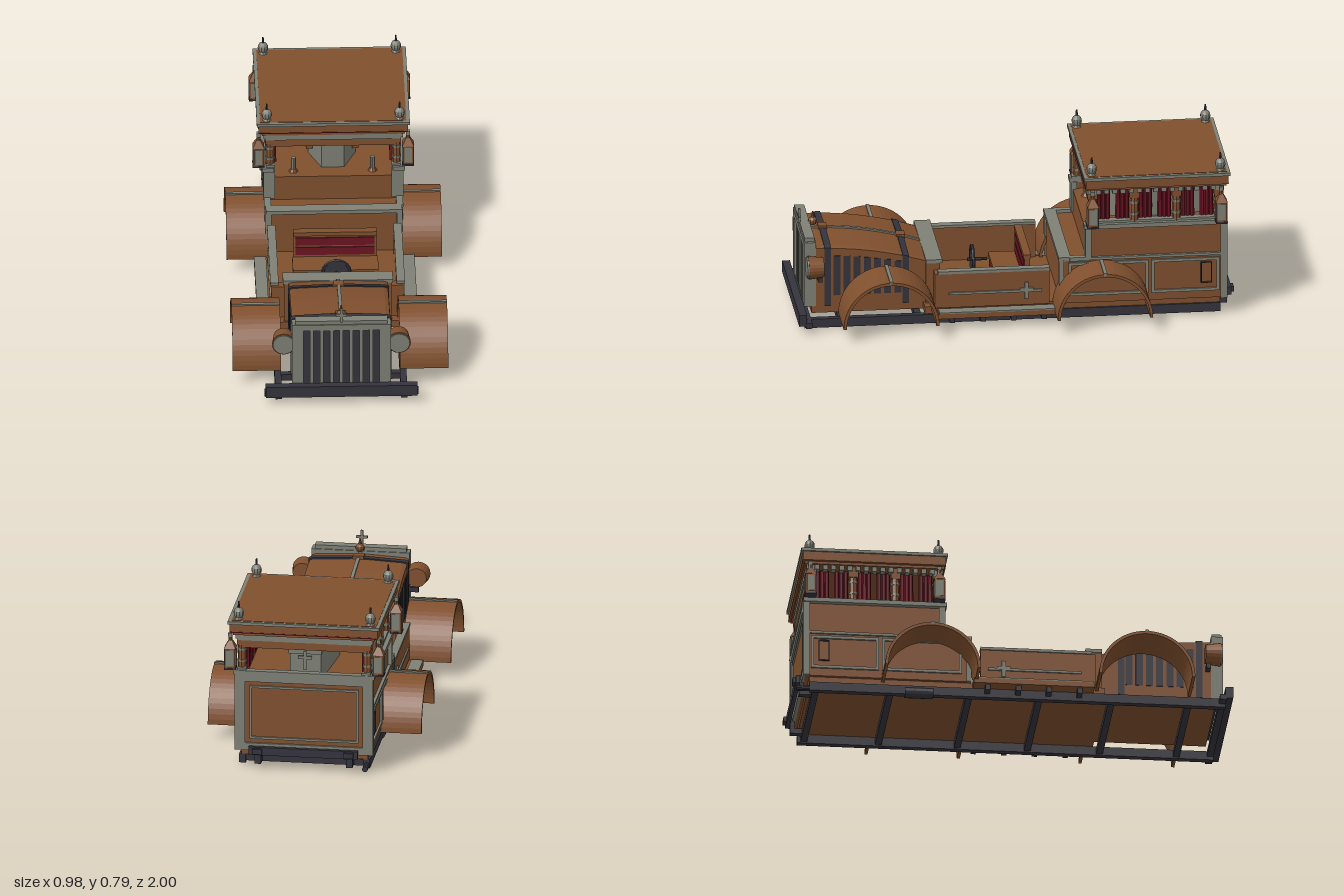
import * as THREE from 'three';

const mat = (name, color) => Object.assign(new THREE.MeshStandardMaterial({ color, flatShading: true }), { name });

export function createModel() {
  const model = new THREE.Group();
  model.name = 'hearse';
  const brown = mat('copper brown', 0x80502e);
  const grey = mat('stone grey', 0x7e8075);
  const dark = mat('dark iron', 0x35343d);
  const red = mat('curtain red', 0x6b1422);

  const add = (name, geo, m, x = 0, y = 0, z = 0) => {
    const mesh = new THREE.Mesh(geo, m);
    mesh.name = name;
    mesh.position.set(x, y, z);
    model.add(mesh);
    return mesh;
  };
  // box given by its bounds
  const box = (name, m, x0, x1, y0, y1, z0, z1) =>
    add(name, new THREE.BoxGeometry(x1 - x0, y1 - y0, z1 - z0), m, (x0 + x1) / 2, (y0 + y1) / 2, (z0 + z1) / 2);
  // the same box on both sides
  const pair = (name, m, x0, x1, ...r) => {
    box(name, m, x0, x1, ...r);
    box(name, m, -x1, -x0, ...r);
  };
  const cyl = (name, m, rt, rb, h, x, y, z, n = 10) => add(name, new THREE.CylinderGeometry(rt, rb, h, n), m, x, y, z);
  // rectangular moulding on both sides
  const sideFrame = (name, m, x, y0, y1, z0, z1, w) => {
    pair(name, m, x, x + 0.009, y0, y0 + w, z0, z1);
    pair(name, m, x, x + 0.009, y1 - w, y1, z0, z1);
    pair(name, m, x, x + 0.009, y0 + w, y1 - w, z0, z0 + w);
    pair(name, m, x, x + 0.009, y0 + w, y1 - w, z1 - w, z1);
  };

  // chassis
  pair('chassisRail', dark, 0.27, 0.3, 0.014, 0.056, -0.93, 0.97);
  for (const z of [-0.9, -0.56, -0.2, 0.12, 0.45, 0.8]) box('crossMember', dark, -0.27, 0.27, 0.02, 0.05, z - 0.015, z + 0.015);
  box('frontBumper', dark, -0.345, 0.345, 0.04, 0.095, 0.965, 1);
  box('frontBumperLower', dark, -0.35, 0.35, 0.03, 0.055, 0.94, 0.97);
  box('rearBumper', dark, -0.25, 0.25, 0.072, 0.11, -0.987, -0.968);
  pair('rearBumperPad', dark, 0.187, 0.232, 0.08, 0.104, -1, -0.987);
  pair('rearBumperArm', dark, 0.195, 0.225, 0.025, 0.1, -0.97, -0.95);
  pair('rearBumperFoot', dark, 0.195, 0.225, 0.025, 0.05, -0.95, -0.9);
  cyl('exhaustPipe', dark, 0.013, 0.013, 0.6, -0.285, 0.028, -0.69).rotation.x = Math.PI / 2;
  cyl('muffler', dark, 0.025, 0.025, 0.13, -0.285, 0.027, -0.43, 12).rotation.x = Math.PI / 2;
  box('floor', brown, -0.29, 0.29, 0.056, 0.09, -0.93, 0.42);
  box('engineFloor', brown, -0.22, 0.22, 0.056, 0.09, 0.42, 0.93);
  pair('runningBoard', brown, 0.29, 0.365, 0.056, 0.08, -0.185, 0.365);
  pair('runningBoardTread', grey, 0.31, 0.365, 0.08, 0.086, -0.18, 0.36);
  for (const z of [-0.12, 0.02, 0.16, 0.3]) pair('runningBoardBracket', dark, 0.29, 0.35, 0.03, 0.056, z - 0.012, z + 0.012);

  // radiator and grille
  pair('radiatorSide', grey, 0.173, 0.225, 0.09, 0.4, 0.91, 0.965);
  box('radiatorTop', grey, -0.173, 0.173, 0.37, 0.4, 0.91, 0.965);
  box('radiatorCrown', grey, -0.21, 0.21, 0.4, 0.418, 0.915, 0.96);
  box('grilleCore', dark, -0.173, 0.173, 0.07, 0.37, 0.91, 0.94);
  for (let i = -3; i <= 3; i++) box('grilleBar', grey, i * 0.045 - 0.008, i * 0.045 + 0.008, 0.09, 0.37, 0.93, 0.96);
  box('radiatorCrossPost', grey, -0.006, 0.006, 0.415, 0.482, 0.957, 0.967);
  box('radiatorCrossArm', grey, -0.026, 0.026, 0.444, 0.456, 0.957, 0.967);
  add('hoodOrnament', new THREE.SphereGeometry(0.021, 10, 8), brown, 0, 0.42, 0.9);
  cyl('hoodOrnamentTip', brown, 0.002, 0.01, 0.03, 0, 0.45, 0.9, 8);

  // hood: one gently gabled section whose height falls towards the cab
  const hoodTop = z => 0.302 + 0.086 * (1 - ((0.91 - z) / 0.5) ** 2);
  const hoodStrip = (name, m, outline, z0, z1, grow, steps) => {
    const s = new THREE.Shape(outline.map(([x, y]) => new THREE.Vector2(x * (0.224 + grow), y)));
    const g = new THREE.ExtrudeGeometry(s, { depth: z1 - z0, steps, bevelEnabled: false });
    const p = g.attributes.position;
    for (let i = 0; i < p.count; i++) {
      const z = p.getZ(i) + z0;
      p.setXYZ(i, p.getX(i), 0.09 + p.getY(i) * (hoodTop(z) + grow - 0.09), z);
    }
    g.computeVertexNormals();
    add(name, g, m);
  };
  const hoodOutline = [[-1, 0], [1, 0], [1, 0.94], [0.92, 0.965], [0, 1], [-0.92, 0.965], [-1, 0.94]];
  hoodStrip('hood', brown, hoodOutline, 0.405, 0.912, 0, 8);
  for (const z of [0.857, 0.5]) {
    hoodStrip('hoodStrap', dark, hoodOutline, z - 0.015, z + 0.015, 0.005, 1);
    box('strapBuckle', brown, -0.025, 0.025, hoodTop(z) - 0.005, hoodTop(z) + 0.014, z - 0.02, z + 0.02);
  }
  hoodStrip('hoodRidge', grey, [[-0.035, 0.9], [0.035, 0.9], [0.035, 1], [-0.035, 1]], 0.41, 0.912, 0.007, 8);
  for (let i = 0; i < 7; i++) {
    const z = 0.815 - i * 0.0465;
    pair('hoodLouvre', dark, 0.22, 0.227, 0.14, 0.09 + 0.82 * (hoodTop(z) - 0.09), z - 0.016, z + 0.016);
  }

  // headlights
  for (const s of [-1, 1]) {
    cyl('headlightHousing', brown, 0.054, 0.045, 0.07, s * 0.262, 0.293, 0.915, 20).rotation.x = Math.PI / 2;
    cyl('headlightLens', grey, 0.049, 0.049, 0.008, s * 0.262, 0.293, 0.953, 20).rotation.x = Math.PI / 2;
  }
  pair('headlightBracket', dark, 0.22, 0.27, 0.222, 0.245, 0.885, 0.905);

  // mudguards
  const guard = (z, r) => {
    const s = new THREE.Shape();
    s.absarc(0, 0, r, 0, Math.PI, false);
    s.absarc(0, 0, r - 0.014, Math.PI, 0, true);
    const g = new THREE.ExtrudeGeometry(s, { depth: 0.22, bevelEnabled: false, curveSegments: 14 });
    g.rotateY(-Math.PI / 2);
    add('mudguard', g, brown, 0.49, 0.072, z);
    add('mudguard', g, brown, -0.27, 0.072, z);
    pair('mudguardTrim', grey, 0.27, 0.49, 0.062 + r, 0.078 + r, z - 0.008, z + 0.008);
  };
  guard(0.594, 0.219);
  guard(-0.384, 0.218);

  // open driver's cab
  box('cowl', brown, -0.245, 0.245, 0.085, 0.285, 0.345, 0.41);
  box('cowlCap', grey, -0.25, 0.25, 0.285, 0.302, 0.335, 0.41);
  pair('cabWall', brown, 0.275, 0.3, 0.085, 0.25, -0.15, 0.345);
  pair('cabWallFront', brown, 0.24, 0.3, 0.085, 0.25, 0.335, 0.375);
  pair('cabRail', grey, 0.268, 0.306, 0.25, 0.263, -0.15, 0.36);
  pair('doorStrip', grey, 0.3, 0.307, 0.149, 0.16, -0.115, 0.31);
  pair('doorCrossPost', grey, 0.3, 0.309, 0.118, 0.196, -0.053, -0.035);
  pair('doorCrossArm', grey, 0.3, 0.309, 0.151, 0.169, -0.074, -0.014);
  box('seatBase', brown, -0.185, 0.185, 0.09, 0.135, -0.045, 0.066);
  box('seatCushion', brown, -0.195, 0.195, 0.135, 0.155, -0.045, 0.076);
  box('seatBaseFront', red, -0.18, 0.18, 0.095, 0.135, 0.066, 0.073);
  box('seatBack', brown, -0.19, 0.19, 0.09, 0.27, -0.072, -0.048);
  box('seatBackRail', brown, -0.19, 0.19, 0.265, 0.284, -0.078, -0.042);
  for (const y of [0.165, 0.215]) box('seatBackCushion', red, -0.18, 0.18, y, y + 0.04, -0.048, -0.043);
  add('steeringWheel', new THREE.TorusGeometry(0.062, 0.008, 6, 18), dark, 0, 0.2, 0.17);
  cyl('steeringDisc', dark, 0.06, 0.06, 0.006, 0, 0.2, 0.17, 18).rotation.x = Math.PI / 2;
  cyl('steeringColumn', dark, 0.008, 0.008, 0.09, 0, 0.2, 0.148, 8).rotation.x = Math.PI / 2;

  // rear body: low deck, open at the front, walled at the sides and back
  box('lowerBody', brown, -0.305, 0.305, 0.085, 0.295, -0.95, -0.2);
  box('upperBody', brown, -0.3, 0.3, 0.295, 0.415, -0.95, -0.32);
  pair('upperWall', brown, 0.275, 0.3, 0.415, 0.45, -0.95, -0.32);
  box('upperRearWall', brown, -0.275, 0.275, 0.415, 0.45, -0.95, -0.925);
  box('frontLedge', grey, -0.31, 0.31, 0.292, 0.31, -0.245, -0.19);
  pair('sideLedge', grey, 0.285, 0.316, 0.292, 0.31, -0.33, -0.24);
  pair('waistMoulding', grey, 0.3, 0.314, 0.294, 0.306, -0.95, -0.32);
  pair('frontPost', grey, 0.265, 0.318, 0.305, 0.45, -0.34, -0.312);
  pair('lowerFrontPost', grey, 0.285, 0.312, 0.085, 0.295, -0.215, -0.192);
  pair('rearPost', grey, 0.27, 0.318, 0.085, 0.45, -0.96, -0.93);
  pair('deckMouldingSide', grey, 0.27, 0.325, 0.448, 0.468, -0.96, -0.305);
  pair('deckLipSide', grey, 0.265, 0.305, 0.468, 0.478, -0.955, -0.315);
  box('deckMouldingRear', grey, -0.27, 0.27, 0.446, 0.468, -0.963, -0.93);
  sideFrame('panelMoulding', grey, 0.305, 0.122, 0.283, -0.6, -0.235, 0.013);
  sideFrame('panelMoulding', grey, 0.305, 0.122, 0.283, -0.925, -0.615, 0.013);
  sideFrame('hatchFrame', dark, 0.305, 0.16, 0.262, -0.89, -0.84, 0.004);
  // tailgate frame
  for (const y of [0.085, 0.415]) box('tailgateRail', grey, -0.27, 0.27, y, y + 0.035, -0.96, -0.945);
  for (const y of [0.14, 0.385]) box('tailgateMoulding', grey, -0.25, 0.25, y, y + 0.01, -0.958, -0.945);
  pair('tailgateMoulding', grey, 0.24, 0.25, 0.15, 0.385, -0.958, -0.945);

  // pillars, rings and curtains
  const pillarZ = [-0.345, -0.537, -0.73, -0.922];
  for (const z of pillarZ) for (const s of [-1, 1]) {
    cyl('pillar', brown, 0.019, 0.02, 0.17, s * 0.287, 0.553, z, 8);
    for (const y of [0.507, 0.562]) cyl('pillarRing', grey, 0.022, 0.022, 0.011, s * 0.287, y, z, 8);
    box('pillarCapital', brown, s * 0.287 - 0.02, s * 0.287 + 0.02, 0.585, 0.64, z - 0.022, z + 0.022);
  }
  for (let b = 0; b < 3; b++) for (const k of [0.033, 0.053, 0.073, 0.12, 0.14, 0.16])
    for (const s of [-1, 1]) cyl('curtainFold', red, 0.011, 0.012, 0.16, s * 0.268, 0.545, pillarZ[b] - k, 6);

  // entablature and roof
  for (const z of [-0.345, -0.922]) {
    box('endBeam', brown, -0.3, 0.3, 0.572, 0.608, z - 0.018, z + 0.018);
    box('endFrieze', grey, -0.308, 0.308, 0.608, 0.638, z - 0.024, z + 0.024);
  }
  for (let i = 0; i < 17; i++) pair('dentil', grey, 0.285, 0.316, 0.614, 0.638, -0.945 + i * 0.0375, -0.923 + i * 0.0375);
  box('ceiling', brown, -0.325, 0.325, 0.636, 0.65, -0.955, -0.317);
  box('roofSlab', brown, -0.34, 0.34, 0.648, 0.69, -0.963, -0.312);
  box('roofPiping', red, -0.335, 0.335, 0.649, 0.653, -0.965, -0.31);
  box('roofCornice', grey, -0.348, 0.348, 0.69, 0.704, -0.972, -0.303);
  box('roofPanel', brown, -0.332, 0.332, 0.7, 0.706, -0.957, -0.318);

  // urn finials and corner lanterns
  for (const s of [-1, 1]) for (const z of [-0.342, -0.93]) {
    const x = s * 0.302;
    cyl('finialBase', grey, 0.014, 0.024, 0.012, x, 0.708, z, 8);
    add('finialUrn', new THREE.SphereGeometry(0.024, 10, 8), grey, x, 0.735, z).scale.y = 1.15;
    cyl('finialSpike', dark, 0.004, 0.006, 0.034, x, 0.772, z, 6);
    const lx = s * 0.34;
    box('lanternBase', dark, lx - 0.027, lx + 0.027, 0.466, 0.474, z - 0.027, z + 0.027);
    box('lanternBody', brown, lx - 0.024, lx + 0.024, 0.474, 0.568, z - 0.024, z + 0.024);
    box('lanternGlassFront', grey, lx - 0.017, lx + 0.017, 0.483, 0.56, z - 0.027, z + 0.027);
    box('lanternGlassSide', grey, lx - 0.027, lx + 0.027, 0.483, 0.56, z - 0.017, z + 0.017);
    cyl('lanternRoof', brown, 0.012, 0.038, 0.035, lx, 0.585, z, 4).rotation.y = Math.PI / 4;
    cyl('lanternCap', brown, 0.008, 0.01, 0.025, lx, 0.612, z, 8);
    box('lanternHanger', grey, lx - 0.009, lx + 0.009, 0.62, 0.637, z - 0.01, z + 0.01);
  }

  // coffin: six-sided plan, lid and crosses
  const coffin = (name, k, y, h) => {
    const plan = [[-0.055, 0.26], [-0.115, 0.12], [-0.075, -0.27], [0.075, -0.27], [0.115, 0.12], [0.055, 0.26]];
    const s = new THREE.Shape(plan.map(([x, z]) => new THREE.Vector2(x * k, -z * k)));
    const g = new THREE.ExtrudeGeometry(s, { depth: h, bevelEnabled: false });
    g.rotateX(-Math.PI / 2);
    add(name, g, grey, 0, y, -0.645);
  };
  coffin('coffinBody', 0.94, 0.415, 0.13);
  coffin('coffinLid', 1, 0.545, 0.02);
  box('lidCrossPost', grey, -0.008, 0.008, 0.565, 0.571, -0.8, -0.48);
  box('lidCrossArm', grey, -0.038, 0.038, 0.565, 0.571, -0.575, -0.559);
  box('endCrossPost', grey, -0.007, 0.007, 0.47, 0.56, -0.922, -0.914);
  box('endCrossArm', grey, -0.032, 0.032, 0.522, 0.536, -0.922, -0.914);
  for (const z of [-0.5, -0.62]) pair('coffinHandle', brown, 0.09, 0.12, 0.465, 0.48, z - 0.02, z + 0.02);
  for (const s of [-1, 1]) {
    cyl('candleStand', brown, 0.012, 0.022, 0.015, s * 0.18, 0.422, -0.37, 8);
    cyl('candle', grey, 0.011, 0.011, 0.06, s * 0.18, 0.457, -0.37, 8);
  }
  return model;
}
